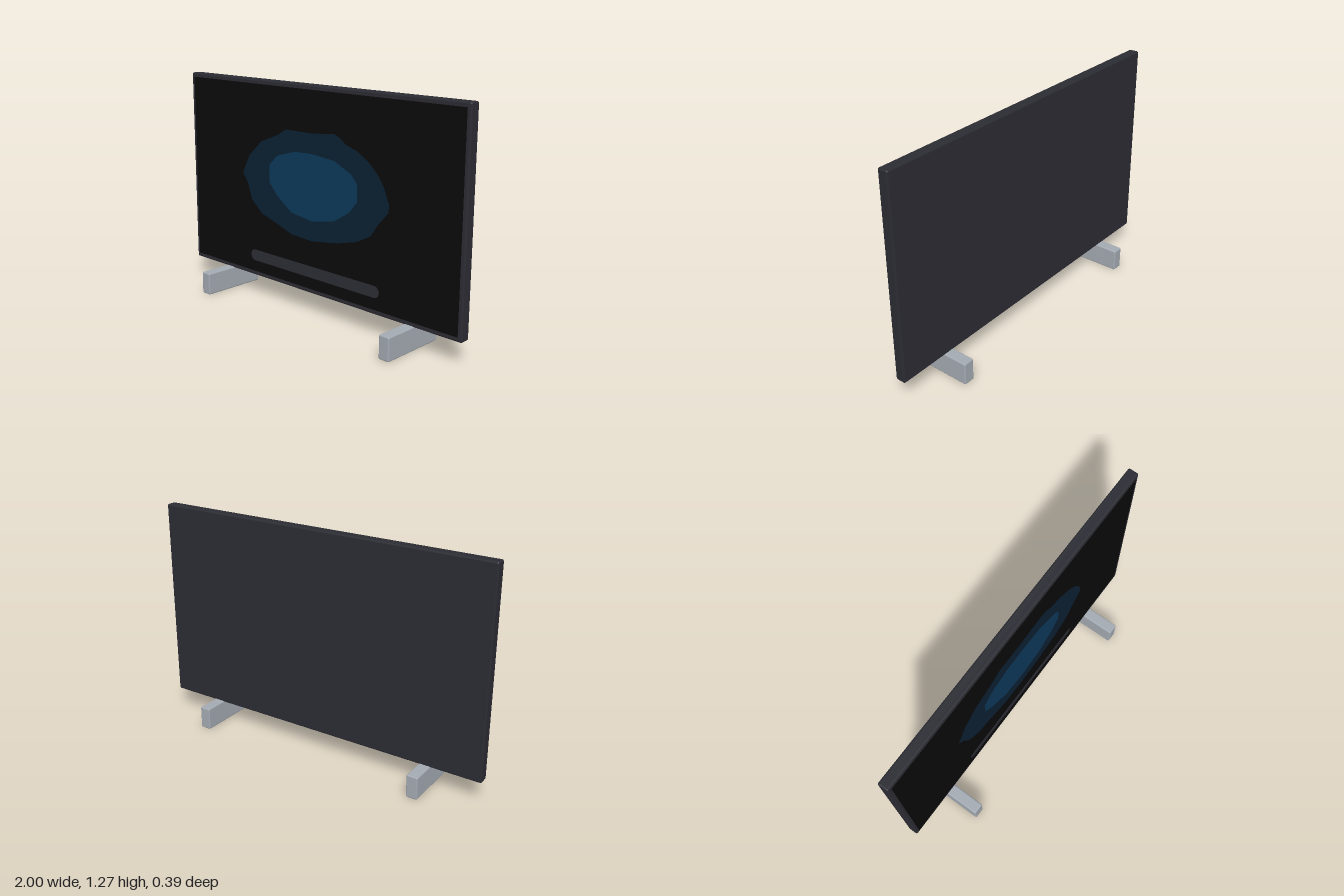
import * as THREE from 'three';
import { RoundedBoxGeometry } from 'three/addons/geometries/RoundedBoxGeometry.js';

const flat = (name, color) => {
  const m = new THREE.MeshStandardMaterial({ color });
  m.name = name;
  return m;
};

// Outlines of the picture on the screen, as x, y pairs
const OUTER = [
  [0.17, 1.035], [0.21, 1.02], [0.25, 0.99], [0.33, 0.965], [0.41, 0.917], [0.47, 0.86], [0.505, 0.81],
  [0.54, 0.73], [0.54, 0.685], [0.47, 0.605], [0.425, 0.54], [0.33, 0.49], [0.195, 0.455], [0.01, 0.427],
  [-0.15, 0.435], [-0.26, 0.472], [-0.39, 0.51], [-0.475, 0.58], [-0.51, 0.675], [-0.55, 0.73],
  [-0.49, 0.84], [-0.39, 0.93], [-0.26, 0.98], [-0.19, 1.02], [0, 1.02],
];
const INNER = [
  [0, 0.91], [0.17, 0.895], [0.29, 0.84], [0.33, 0.795], [0.33, 0.7], [0.275, 0.635], [0.17, 0.57],
  [0.01, 0.54], [-0.15, 0.56], [-0.26, 0.635], [-0.325, 0.705], [-0.325, 0.805], [-0.26, 0.865], [-0.125, 0.905],
];

function outline(points) {
  return new THREE.Shape(points.map(([x, y]) => new THREE.Vector2(x, y)));
}

// Horizontal bar with rounded ends
function pill(x0, x1, y, r) {
  const s = new THREE.Shape();
  s.absarc(x1 - r, y, r, -Math.PI / 2, Math.PI / 2, false);
  s.absarc(x0 + r, y, r, Math.PI / 2, Math.PI * 1.5, false);
  s.closePath();
  return s;
}

export function createModel() {
  const group = new THREE.Group();
  const casing = flat('casing charcoal', 0x2b2b33);
  const black = flat('screen black', 0x0a0a0a);
  const navy = flat('dark blue', 0x0b2033);
  const blue = flat('blue', 0x0c385a);
  const grey = flat('bar grey', 0x2d2c35);
  const silver = flat('feet silver', 0xa2a9b1);

  const add = (name, geometry, material, x = 0, y = 0, z = 0) => {
    const mesh = new THREE.Mesh(geometry, material);
    mesh.name = name;
    mesh.position.set(x, y, z);
    group.add(mesh);
  };

  // Slim casing
  add('casing', new RoundedBoxGeometry(2, 1.15, 0.06, 3, 0.01), casing, 0, 0.7, -0.03);

  // Screen and the thin layers of its picture
  add('screen', new THREE.PlaneGeometry(1.955, 1.1), black, 0, 0.7, 0.001);
  add('outerGlow', new THREE.ShapeGeometry(outline(OUTER)), navy, 0, 0, 0.002);
  add('innerGlow', new THREE.ShapeGeometry(outline(INNER)), blue, 0, 0, 0.003);
  add('screenBar', new THREE.ShapeGeometry(pill(-0.49, 0.487, 0.249, 0.033)), grey, 0, 0, 0.002);

  // Pair of feet
  for (const side of [-1, 1]) {
    const name = side > 0 ? 'leftFoot' : 'rightFoot';
    add(name, new RoundedBoxGeometry(0.065, 0.13, 0.39, 3, 0.008), silver, side * 0.683, 0.065, 0);
  }
  return group;
}
